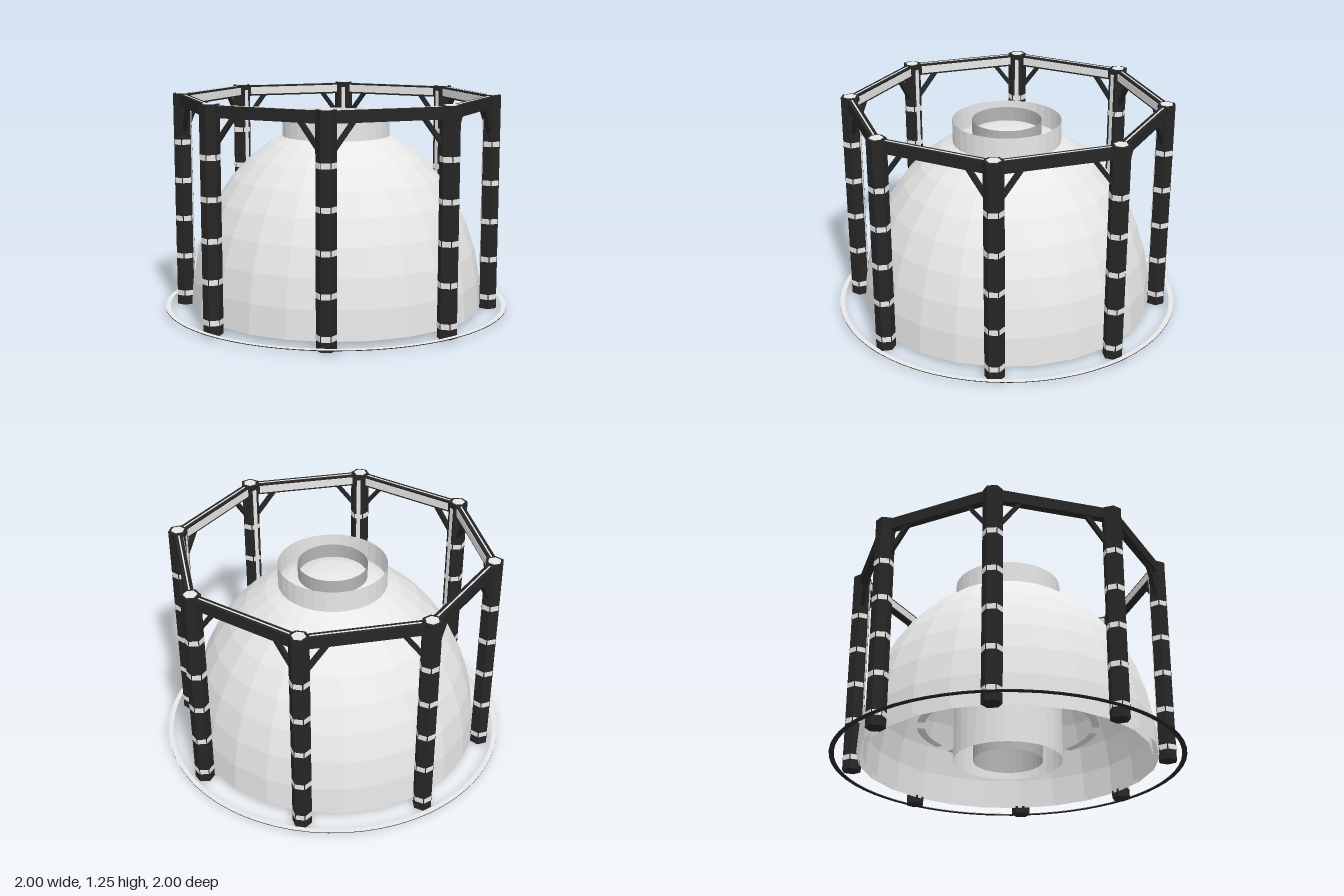
import * as THREE from 'three';

const mat = (name, color, extra = {}) => {
  const m = new THREE.MeshStandardMaterial({ color, flatShading: true, ...extra });
  m.name = name;
  return m;
};

export function createModel() {
  const model = new THREE.Group();
  const two = { side: THREE.DoubleSide };
  const dark = mat('darkMetal', 0x262626);
  const light = mat('lightGrey', 0xe8e8e8, two);
  const mid = mat('midGrey', 0xb4b4b4, two);

  const add = (parent, name, geo, material, x = 0, y = 0, z = 0) => {
    const mesh = new THREE.Mesh(geo, material);
    mesh.name = name;
    mesh.position.set(x, y, z);
    parent.add(mesh);
    return mesh;
  };
  // group whose +x points outward at the given angle
  const radial = (name, angle) => {
    const g = new THREE.Group();
    g.name = name;
    g.rotation.y = -angle;
    model.add(g);
    return g;
  };
  const flat = (geo, up) => geo.rotateX(up ? -Math.PI / 2 : Math.PI / 2);

  // Dome: an outer and an inner open shell
  const base = 0.03, bands = 10;
  const shell = (name, r, h) => {
    const profile = Array.from({ length: bands + 1 }, (_, i) => {
      const t = (1 - i / bands) * Math.PI / 2;
      return new THREE.Vector2(r * Math.sin(t), base + h * Math.cos(t));
    });
    add(model, name, new THREE.LatheGeometry(profile, 24), light);
  };
  shell('domeOuter', 0.85, 1.06);
  shell('domeInner', 0.815, 1.03);

  // Open concentric tubes through the dome
  const tube = (name, r, material) => add(model, name,
    new THREE.CylinderGeometry(r, r, 1.11, 32, 1, true), material, 0, 0.585, 0);
  tube('collarTube', 0.31, light);
  tube('innerTube', 0.197, mid);

  // Ground ring: light above, dark edge and underside
  add(model, 'groundRingTop', flat(new THREE.RingGeometry(0.972, 1, 64), true), light, 0, base + 0.002, 0);
  add(model, 'groundRingUnderside', flat(new THREE.RingGeometry(0.972, 1, 64), false), dark, 0, base - 0.002, 0);
  add(model, 'groundRingEdge', new THREE.CylinderGeometry(1, 1, 0.004, 64, 1, true), dark, 0, base, 0);

  // Broken ring inside the dome
  for (let i = 0; i < 8; i++) {
    const g = flat(new THREE.RingGeometry(0.475, 0.52, 6, 1, i * Math.PI / 4, 0.6), true);
    add(model, 'innerArc', g, light, 0, 0.23, 0);
  }

  const R = 0.893, step = Math.PI / 4, start = Math.PI / 12, H = 1.25;
  const postR = 0.055, face = postR * Math.cos(Math.PI / 6);
  const span = 2 * R * Math.sin(step / 2), mean = R * Math.cos(step / 2);
  const up = new THREE.Vector3(0, 1, 0);
  for (let i = 0; i < 8; i++) {
    // Hexagonal column with cap and inward strip
    const col = radial('column', start + i * step);
    add(col, 'post', new THREE.CylinderGeometry(postR, postR, H, 6), dark, R, H / 2, 0);
    add(col, 'cap', new THREE.CylinderGeometry(0.038, 0.038, 0.004, 6), light, R, H + 0.001, 0);
    add(col, 'innerStrip', new THREE.BoxGeometry(0.005, H - 0.06, 0.024), light, R - face, H / 2, 0);

    // Bands made of one thin plate per column face
    for (let b = 0; b < 5; b++) {
      for (let f = 0; f < 6; f++) {
        const a = f * Math.PI / 3;
        const plate = add(col, 'band', new THREE.BoxGeometry(0.005, 0.03, 0.048), light,
          R + face * Math.cos(a), 0.07 + b * 0.225, face * Math.sin(a));
        plate.rotation.y = -a;
      }
    }

    // Top beam with light lines, and a brace at each end
    const beam = radial('beam', start + (i + 0.5) * step);
    add(beam, 'bar', new THREE.BoxGeometry(0.045, 0.065, span), dark, mean, 1.2125, 0);
    add(beam, 'topLine', new THREE.BoxGeometry(0.008, 0.004, span - 0.11), light, mean, 1.2455, 0);
    add(beam, 'innerPanel', new THREE.BoxGeometry(0.005, 0.045, span - 0.11), light, mean - 0.023, 1.2125, 0);
    for (const s of [-1, 1]) {
      const a = new THREE.Vector3(mean, 1.03, s * (span / 2 - 0.03));
      const b = new THREE.Vector3(mean, 1.19, s * (span / 2 - 0.15));
      const d = b.clone().sub(a);
      const brace = add(beam, 'brace', new THREE.BoxGeometry(0.024, d.length(), 0.024), dark);
      brace.position.copy(a).add(b).multiplyScalar(0.5);
      brace.quaternion.setFromUnitVectors(up, d.normalize());
    }
  }
  return model;
}
